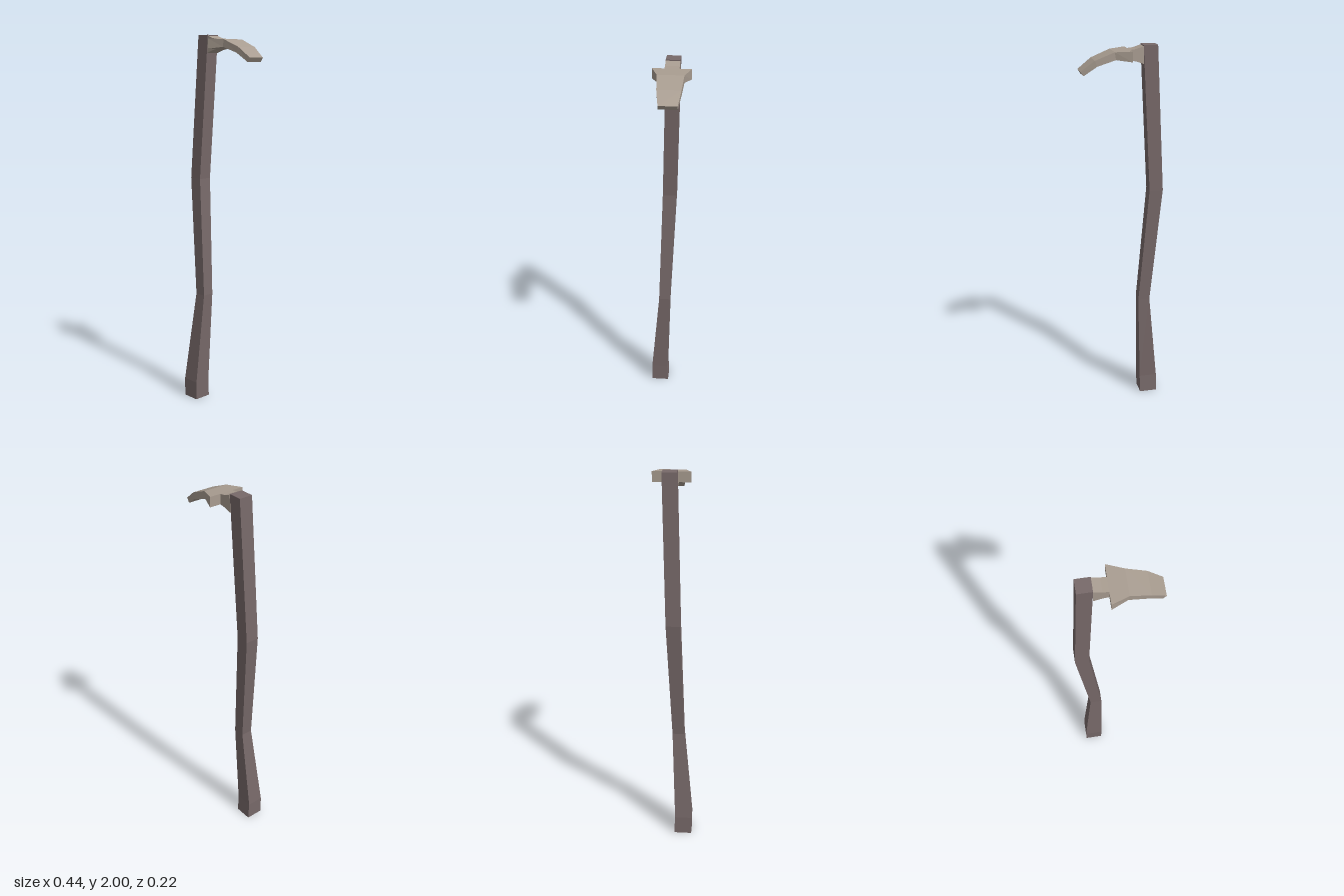
import * as THREE from 'three';

// Closed four-sided loft; each ring runs counter-clockwise facing the travel direction
function loft(rings) {
  const pos = [];
  const quad = (a, b, c, d) => [a, b, c, a, c, d].forEach((p) => pos.push(...p));
  for (let i = 0; i < rings.length - 1; i++) {
    const r = rings[i], n = rings[i + 1];
    for (let j = 0; j < 4; j++) {
      const k = (j + 1) % 4;
      quad(r[j], r[k], n[k], n[j]);
    }
  }
  const first = rings[0], last = rings[rings.length - 1];
  quad(first[3], first[2], first[1], first[0]);
  quad(last[0], last[1], last[2], last[3]);
  const geo = new THREE.BufferGeometry();
  geo.setAttribute('position', new THREE.Float32BufferAttribute(pos, 3));
  geo.computeVertexNormals();
  return geo;
}

// Horizontal section of the shaft
const shaftRing = ([y, x0, x1, z0, z1]) =>
  [[x0, y, z1], [x1, y, z1], [x1, y, z0], [x0, y, z0]];

// Upright section of the head; top and bottom edges may lean in x
const headRing = ([xt, yt, xb, yb, z0, z1]) =>
  [[xb, yb, z1], [xb, yb, z0], [xt, yt, z0], [xt, yt, z1]];

export function createModel() {
  const wood = new THREE.MeshStandardMaterial({ color: 0x776969, flatShading: true });
  wood.name = 'greyBrownWood';
  const stone = new THREE.MeshStandardMaterial({ color: 0xa89c90, flatShading: true });
  stone.name = 'paleStone';

  const group = new THREE.Group();
  group.name = 'hoe';
  const add = (name, rings, material) => {
    const mesh = new THREE.Mesh(loft(rings), material);
    mesh.name = name;
    group.add(mesh);
  };

  // Crooked shaft: y, x range, z range
  add('handle', [
    [0, -0.21, -0.115, 0.013, 0.108],
    [0.1, -0.21, -0.113, 0.018, 0.108],
    [0.6, -0.16, -0.097, 0, 0.062],
    [1.24, -0.218, -0.146, -0.03, 0.043],
    [2, -0.175, -0.102, -0.05, 0.022],
  ].map(shaftRing), wood);

  // Neck tapering out of the shaft
  add('neck', [
    [-0.102, 1.995, -0.104, 1.908, -0.05, 0.022],
    [-0.062, 1.982, -0.062, 1.922, -0.05, 0.022],
    [-0.033, 1.979, -0.033, 1.927, -0.05, 0.022],
  ].map(headRing), stone);

  // Wide blade curving down to the tip
  add('blade', [
    [-0.033, 1.979, -0.033, 1.927, -0.111, 0.083],
    [0.05, 1.974, 0.044, 1.936, -0.08, 0.052],
    [0.148, 1.935, 0.136, 1.906, -0.073, 0.045],
    [0.218, 1.882, 0.203, 1.86, -0.06, 0.033],
  ].map(headRing), stone);

  return group;
}
